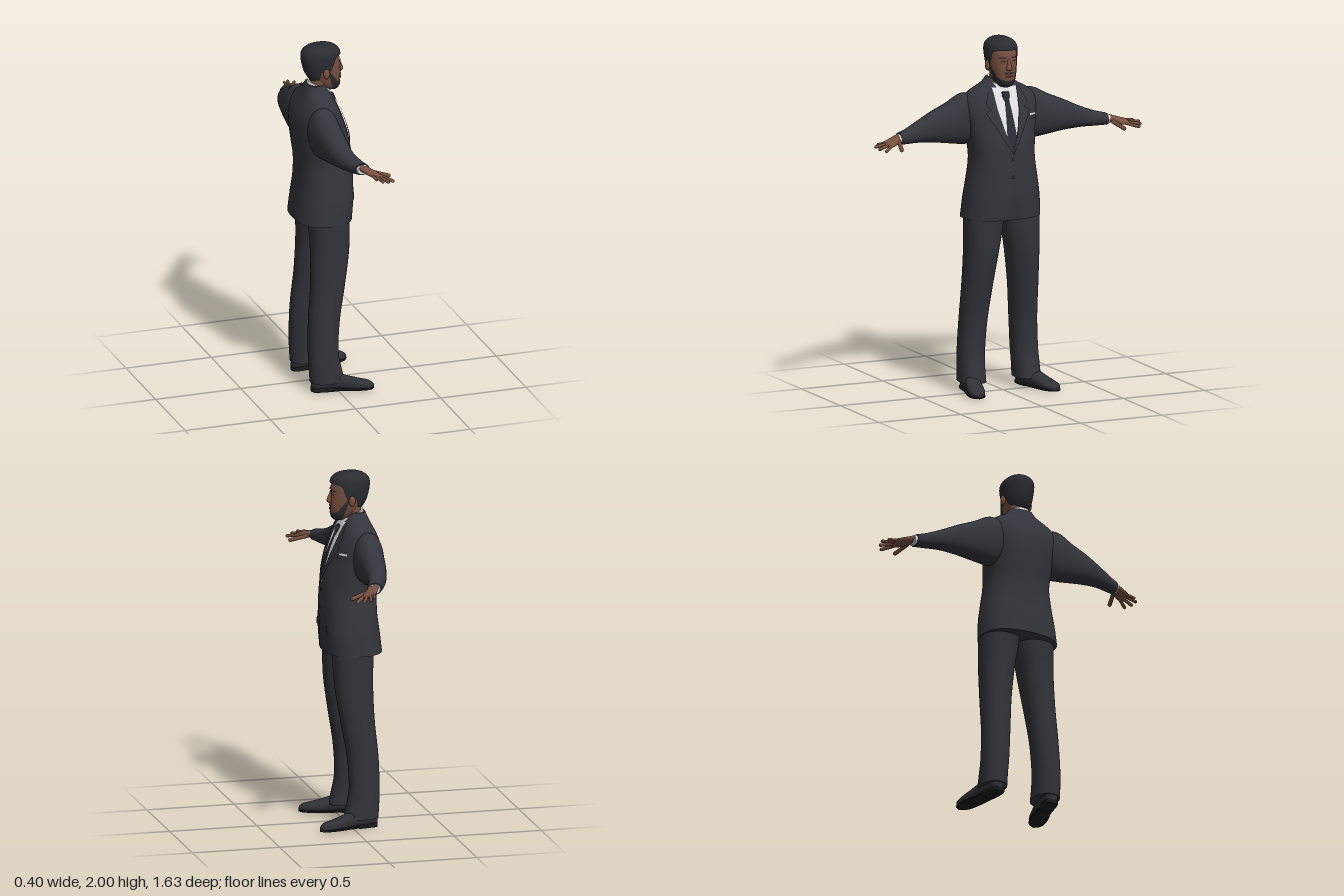
import * as THREE from 'three';
import { mergeGeometries } from 'three/addons/utils/BufferGeometryUtils.js';

const mat = (name, color, double) => {
  const m = new THREE.MeshStandardMaterial({ color });
  m.name = name;
  if (double) m.side = THREE.DoubleSide;
  return m;
};

// Piecewise linear value through [x, y] points
function pw(pts, x) {
  if (x <= pts[0][0]) return pts[0][1];
  for (let i = 1; i < pts.length; i++) {
    const [x0, y0] = pts[i - 1], [x1, y1] = pts[i];
    if (x <= x1) return y0 + (y1 - y0) * (x - x0) / (x1 - x0);
  }
  return pts[pts.length - 1][1];
}

// Smooth cross-section at s; rows are [s, centre, halfWidth, back, front]
function sectionAt(rows, s) {
  const last = rows.length - 1;
  let i = 0;
  while (i < last - 1 && s > rows[i + 1][0]) i++;
  const A = rows[i], B = rows[i + 1], h = B[0] - A[0];
  const k = Math.min(1, Math.max(0, (s - A[0]) / h));
  const slope = (j, c) => {
    const p = rows[Math.max(0, j - 1)], q = rows[Math.min(last, j + 1)];
    return (q[c] - p[c]) / (q[0] - p[0]);
  };
  return [1, 2, 3, 4].map(c => {
    const k2 = k * k, k3 = k2 * k;
    return A[c] * (2 * k3 - 3 * k2 + 1) + B[c] * (3 * k2 - 2 * k3)
      + h * (slope(i, c) * (k3 - 2 * k2 + k) + slope(i + 1, c) * (k3 - k2));
  });
}

const power = (v, n) => Math.sign(v) * Math.pow(Math.abs(v), 2 / n);

// Point on a rounded-section body: angle t = 0 is the front
function surf(rows, s, t, n) {
  const [c, w, b, f] = sectionAt(rows, s);
  return new THREE.Vector3(c + w * power(Math.sin(t), n), s, (b + f) / 2 + (f - b) / 2 * power(Math.cos(t), n));
}

function grid(fn, nu, nv, closed) {
  const pos = [], index = [], cols = closed ? nu : nu + 1;
  for (let j = 0; j <= nv; j++)
    for (let i = 0; i < cols; i++) pos.push(...fn(i / nu, j / nv).toArray());
  for (let j = 0; j < nv; j++)
    for (let i = 0; i < nu; i++) {
      const a = j * cols + i, b = j * cols + (i + 1) % cols;
      index.push(a, b, b + cols, a, b + cols, a + cols);
    }
  const g = new THREE.BufferGeometry();
  g.setAttribute('position', new THREE.Float32BufferAttribute(pos, 3));
  g.setIndex(index);
  g.computeVertexNormals();
  return g;
}

// Closed body with capped ends; map places it, flip is for mirrored axes
function loft(rows, { n = 2.2, nu = 32, nv = 30, map = p => p, flip = false } = {}) {
  const s0 = rows[0][0], s1 = rows[rows.length - 1][0];
  const ang = u => (flip ? -1 : 1) * u * Math.PI * 2;
  const cap = (s, out) => grid((u, v) => {
    const [c, , b, f] = sectionAt(rows, s);
    return map(new THREE.Vector3(c, s, (b + f) / 2).lerp(surf(rows, s, ang(u), n), out ? 1 - v : v));
  }, nu, 1, true);
  const side = grid((u, v) => map(surf(rows, s0 + (s1 - s0) * v, ang(u), n)), nu, nv, true);
  return mergeGeometries([side, cap(s0, false), cap(s1, true)]);
}

// Thin panel laid on the front of a body between two x limits
function panel(rows, n, y0, y1, xl, xr, off, nu = 8, nv = 20) {
  return grid((u, v) => {
    const y = y0 + (y1 - y0) * v, x = xl(y) + (xr(y) - xl(y)) * u;
    const [c, w] = sectionAt(rows, y);
    const q = Math.max(-1, Math.min(1, (x - c) / w));
    const p = surf(rows, y, Math.asin(Math.sign(q) * Math.pow(Math.abs(q), n / 2)), n);
    p.z += off;
    return p;
  }, nu, nv, false);
}

function mirrored(geo) {
  const g = geo.clone().scale(-1, 1, 1), ix = g.index.array;
  for (let i = 0; i < ix.length; i += 3) [ix[i], ix[i + 1]] = [ix[i + 1], ix[i]];
  return g;
}

export function createModel() {
  const root = new THREE.Group(), body = new THREE.Group();
  root.name = 'suitedMan';
  body.name = 'body';
  root.add(body);
  body.rotation.y = Math.PI / 2; // faces +x

  const suit = mat('suit', 0x34353c, true), trouser = mat('trousers', 0x32333a, true);
  const tieMat = mat('tie', 0x2a2c36, true), shirt = mat('shirt', 0xe2e2e6, true);
  const skin = mat('skin', 0x77503f), hairMat = mat('hair', 0x2b2c32, true);
  const leather = mat('shoeLeather', 0x303136), soleMat = mat('sole', 0x1c1c1f);
  const feature = mat('faceFeature', 0x4a2f27, true);

  const add = (name, geo, m) => {
    const mesh = new THREE.Mesh(geo, m);
    mesh.name = name;
    body.add(mesh);
  };
  const pair = (name, geo, m) => {
    add('left' + name, geo, m);
    add('right' + name, mirrored(geo), m);
  };
  const ball = (r, sx, sy, sz, x, y, z) => new THREE.SphereGeometry(r, 16, 10).scale(sx, sy, sz).translate(x, y, z);

  // Jacket
  const torso = [[0.985, 0, .225, -.2, .125], [1.1, 0, .215, -.187, .135], [1.2, 0, .2, -.175, .136],
    [1.32, 0, .183, -.175, .133], [1.42, 0, .19, -.188, .12], [1.52, 0, .205, -.196, .093],
    [1.6, 0, .218, -.188, .064], [1.66, 0, .208, -.165, .038], [1.7, 0, .165, -.145, .02],
    [1.735, 0, .1, -.13, .002], [1.77, 0, .07, -.115, -.02]];
  const TN = 2.5;
  add('jacket', loft(torso, { n: TN, nu: 56, nv: 50 }), suit);
  const gap = y => .045 * (1 - (y - .985) / .21);
  add('jacketOpening', panel(torso, TN, .985, 1.19, y => -gap(y), gap, .003), trouser);

  // Shirt front, lapels and tie
  const edge = y => pw([[1.36, 0], [1.5, .042], [1.6, .064], [1.72, .074]], y);
  const lapel = y => pw([[1.36, .004], [1.59, .135], [1.61, .1], [1.63, .13], [1.72, .092]], y);
  add('shirtFront', panel(torso, TN, 1.36, 1.72, y => -edge(y), edge, .004), shirt);
  pair('Lapel', panel(torso, TN, 1.355, 1.72, edge, lapel, .01, 6, 36), suit);
  const tieW = y => Math.min(edge(y), pw([[1.45, .03], [1.65, .014]], y));
  add('tieBlade', panel(torso, TN, 1.36, 1.66, y => -tieW(y), tieW, .008), tieMat);
  add('tieKnot', loft([[1.64, 0, .013, .02, .056], [1.675, 0, .023, .015, .052], [1.695, 0, .02, .01, .042]],
    { nu: 16, nv: 6 }), tieMat);
  add('shirtCollar', loft([[1.71, 0, .079, -.118, .03], [1.735, 0, .073, -.112, .024], [1.762, 0, .066, -.105, .014]],
    { nv: 6, map: p => p.setY(p.y - .45 * (p.z + .05)) }), shirt);

  // Pockets and buttons
  add('pocketSquare', panel(torso, TN, 1.555, 1.567, () => .135, () => .185, .006, 6, 2), shirt);
  add('breastPocket', panel(torso, TN, 1.537, 1.557, () => .13, () => .19, .007, 6, 2), suit);
  pair('PocketFlap', panel(torso, TN, 1.1, 1.145, () => .1, () => .185, .005, 6, 2), suit);
  for (const [y, z] of [[1.33, .133], [1.23, .138]]) add('button', ball(.009, 1, 1, .4, 0, y, z), tieMat);

  // Sleeves, cuffs and hands
  const alongX = p => new THREE.Vector3(p.y, p.z, p.x);
  pair('Sleeve', loft([[.12, -.085, .07, 1.46, 1.66], [.19, -.085, .083, 1.4, 1.686], [.235, -.083, .083, 1.4, 1.678],
    [.3, -.078, .077, 1.41, 1.643], [.4, -.072, .066, 1.425, 1.6], [.5, -.058, .053, 1.435, 1.553],
    [.58, -.03, .045, 1.44, 1.524], [.635, -.008, .042, 1.445, 1.512]], { map: alongX }), suit);
  pair('Cuff', loft([[.62, -.012, .036, 1.45, 1.506], [.648, -.002, .036, 1.452, 1.504]], { nv: 2, map: alongX }), shirt);
  const handY = z => -.22 * (z - .03);
  pair('Palm', loft([[.6, -.012, .028, 1.455, 1.5], [.64, 0, .031, 1.456, 1.498], [.68, .024, .04, 1.455, 1.49],
    [.72, .044, .041, 1.456, 1.483], [.74, .05, .032, 1.459, 1.479], [.747, .05, .004, 1.467, 1.471]],
    { nu: 20, nv: 16, map: p => new THREE.Vector3(p.y, p.z + handY(p.x), p.x) }), skin);
  const up = new THREE.Vector3(0, 1, 0);
  const fingers = [['Thumb', .655, .035, .685, .135, .0115], ['IndexFinger', .715, .072, .778, .127, .0095],
    ['MiddleFinger', .725, .058, .803, .092, .0095], ['RingFinger', .725, .038, .811, .056, .009],
    ['LittleFinger', .715, .018, .785, .028, .008]];
  for (const [name, x0, z0, x1, z1, r] of fingers) {
    const a = new THREE.Vector3(x0, 1.47 + handY(z0), z0), b = new THREE.Vector3(x1, 1.465 + handY(z1), z1);
    const d = b.clone().sub(a), len = d.length();
    const g = new THREE.CapsuleGeometry(r, len - r, 4, 10);
    g.applyQuaternion(new THREE.Quaternion().setFromUnitVectors(up, d.normalize()));
    const mid = a.add(b).multiplyScalar(.5);
    pair(name, g.translate(mid.x, mid.y, mid.z), skin);
  }

  // Trouser legs
  pair('TrouserLeg', loft([[.055, .168, .074, -.15, .045], [.13, .167, .073, -.155, .028], [.22, .163, .074, -.158, .012],
    [.4, .153, .075, -.154, .022], [.6, .14, .082, -.136, .055], [.8, .124, .094, -.13, .085],
    [.95, .111, .107, -.135, .092], [1.05, .106, .11, -.14, .09]], { n: 2.3 }), trouser);

  // Shoes with soles and heels
  const alongZ = p => new THREE.Vector3(p.x, p.z, p.y);
  const shoe = [[-.145, .17, .008, .02, .05], [-.136, .17, .032, .01, .085], [-.08, .175, .042, .01, .11],
    [0, .19, .044, .01, .1], [.06, .205, .049, .008, .078], [.13, .222, .048, .007, .058],
    [.18, .232, .034, .008, .045], [.199, .236, .005, .014, .028]];
  pair('Shoe', loft(shoe, { n: 2.5, map: alongZ, flip: true }), leather);
  const slab = (rows, top, low) => loft(rows.map(([s, c, w]) => [s, c, w + .002, low, top]),
    { n: 5, nv: 24, map: alongZ, flip: true });
  pair('Sole', slab(shoe, .016, .005), soleMat);
  pair('Heel', slab([...shoe.slice(0, 3), [-.03, .183, .042]], .025, 0), soleMat);

  // Neck, head and ears
  add('neck', loft([[1.66, 0, .06, -.1, .015], [1.76, 0, .057, -.095, .01], [1.83, 0, .057, -.095, .01]], { nv: 8 }), skin);
  const head = [[1.72, 0, .005, .02, .04], [1.728, 0, .03, -.01, .06], [1.75, 0, .05, -.045, .074],
    [1.78, 0, .063, -.075, .078], [1.83, 0, .074, -.11, .08], [1.88, 0, .079, -.128, .077],
    [1.93, 0, .079, -.135, .07], [1.965, 0, .067, -.115, .045], [1.985, 0, .04, -.08, .01], [1.99, 0, .003, -.045, -.03]];
  add('head', loft(head, { nv: 36 }), skin);
  pair('Ear', ball(.03, .42, 1, .62, .084, 1.843, -.025), skin);

  // Hair follows a hairline around the head, beard follows the jaw
  const hair = [[1.78, 0, .067, -.09, .08], [1.83, 0, .079, -.122, .084], [1.88, 0, .085, -.138, .083],
    [1.93, 0, .088, -.145, .08], [1.96, 0, .081, -.138, .073], [1.985, 0, .058, -.11, .045],
    [1.997, 0, .028, -.075, .005], [2, 0, .002, -.045, -.035]];
  const hairline = t => pw([[.7, 1.936], [1.05, 1.925], [1.25, 1.87], [1.4, 1.85], [1.75, 1.855], [2.05, 1.805], [3.14, 1.785]], t);
  add('hair', grid((u, v) => {
    const t = u * Math.PI * 2, low = hairline(Math.min(t, Math.PI * 2 - t));
    return surf(hair, low + (2 - low) * Math.sin(v * Math.PI / 2), t, 2.2);
  }, 64, 20, true), hairMat);
  const jaw = head.map(([s, c, w, b, f]) => [s, c, w + .003, b - .003, f + .003]);
  add('beard', grid((u, v) => {
    const t = (u * 2 - 1) * 1.5;
    const top = pw([[0, 1.766], [.5, 1.768], [1, 1.785], [1.3, 1.83], [1.5, 1.86]], Math.abs(t));
    return surf(jaw, 1.72 + (top - 1.72) * v, t, 2.2);
  }, 40, 12, false), hairMat);

  // Facial features
  add('nose', loft([[1.822, 0, .012, .06, .088], [1.832, 0, .018, .06, .1], [1.85, 0, .012, .06, .097],
    [1.888, 0, .007, .06, .08]], { nu: 14, nv: 10 }), skin);
  add('moustache', panel(head, 2.2, 1.803, 1.814, () => -.028, () => .028, .004, 8, 2), hairMat);
  add('lips', panel(head, 2.2, 1.783, 1.798, () => -.022, () => .022, .005, 8, 3), feature);
  pair('Eye', panel(head, 2.2, 1.872, 1.881, () => .02, () => .045, .003, 5, 2), feature);
  pair('Eyebrow', panel(head, 2.2, 1.892, 1.9, () => .014, () => .052, .004, 6, 2), hairMat);
  return root;
}
